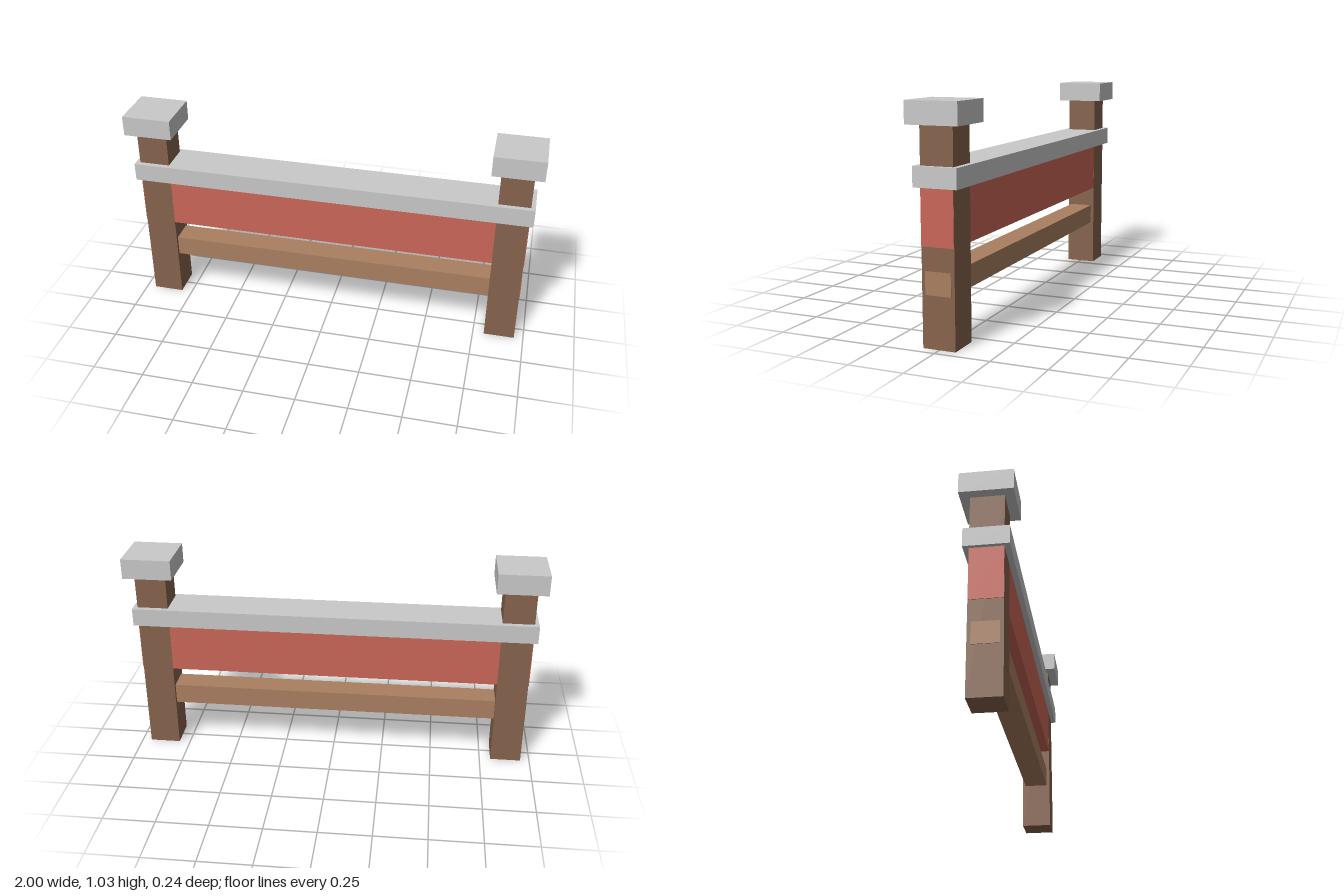
import * as THREE from 'three';

const paint = (name, color) => {
  const m = new THREE.MeshStandardMaterial({ color });
  m.name = name;
  return m;
};

export function createModel() {
  const group = new THREE.Group();
  group.name = 'fenceSection';
  const stone = paint('lightGrey', 0xc9c9c9);
  const darkWood = paint('darkBrown', 0x87634d);
  const lightWood = paint('lightBrown', 0xaa7f60);
  const red = paint('red', 0xcb6658);

  // Box spanning y0..y1, centred on z = 0
  const addBox = (name, material, x, width, y0, y1, depth) => {
    const mesh = new THREE.Mesh(new THREE.BoxGeometry(width, y1 - y0, depth), material);
    mesh.position.set(x, (y0 + y1) / 2, 0);
    mesh.name = name;
    group.add(mesh);
  };

  // Posts with square caps
  for (const [side, s] of [['left', 1], ['right', -1]]) {
    addBox(side + 'Post', darkWood, s * 0.88, 0.15, 0, 0.932, 0.15);
    addBox(side + 'PostCap', stone, s * 0.881, 0.238, 0.932, 1.03, 0.238);
  }

  // Coping, panel and lower beam run through both posts;
  // the panel sits a hair inside the post faces
  addBox('coping', stone, 0, 1.952, 0.677, 0.765, 0.2);
  addBox('panel', red, 0, 1.916, 0.433, 0.677, 0.149);
  addBox('lowerBeam', lightWood, 0, 1.916, 0.23, 0.33, 0.118);

  return group;
}
